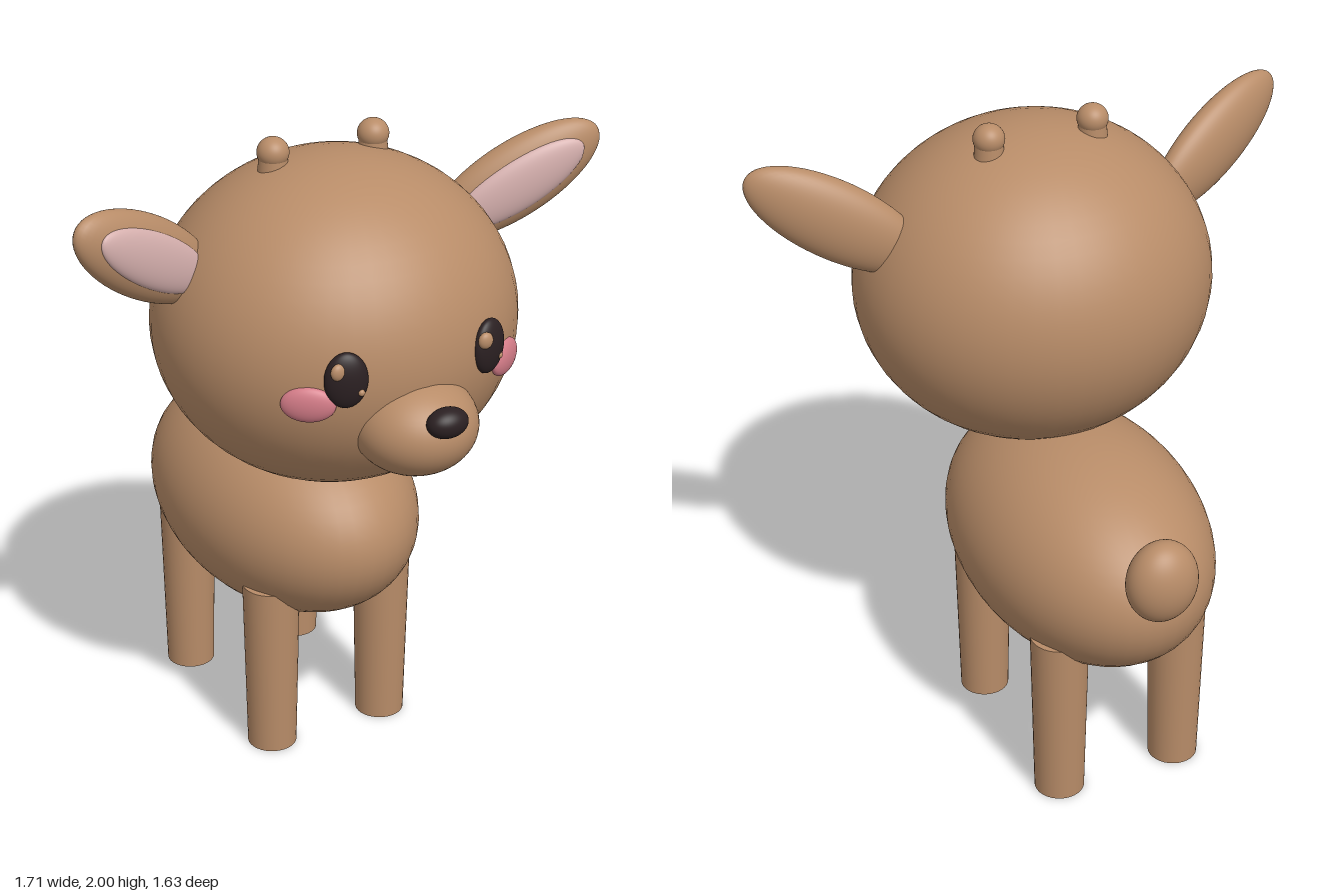
import * as THREE from 'three';

const flat = (name, color) => {
  const m = new THREE.MeshStandardMaterial({ color });
  m.name = name;
  return m;
};

export function createModel() {
  const fur = flat('brown fur', 0xb88c68);
  const innerEarPink = flat('inner ear pink', 0xd6b0ae);
  const blush = flat('blush pink', 0xd47c88);
  const dark = flat('dark brown', 0x2b2022);

  const model = new THREE.Group();
  model.name = 'fawn';
  const ball = new THREE.SphereGeometry(1, 48, 32);

  const add = (name, geometry, material, position, parent = model) => {
    const mesh = new THREE.Mesh(geometry, material);
    mesh.name = name;
    mesh.position.set(...position);
    parent.add(mesh);
    return mesh;
  };
  const ellipsoid = (name, material, position, radii, parent) => {
    const mesh = add(name, ball, material, position, parent);
    mesh.scale.set(...radii);
    return mesh;
  };

  // Body, tail and head
  ellipsoid('body', fur, [0, 0.725, -0.178], [0.37, 0.347, 0.567]);
  ellipsoid('tail', fur, [0, 0.88, -0.73], [0.11, 0.13, 0.086]);
  ellipsoid('head', fur, [0, 1.452, 0.145], [0.548, 0.493, 0.52]);
  ellipsoid('muzzle', fur, [0, 1.288, 0.6], [0.183, 0.144, 0.185]);
  ellipsoid('nose', dark, [0, 1.36, 0.772], [0.063, 0.044, 0.045]);

  // Gently tapered legs
  const leg = new THREE.CylinderGeometry(0.089, 0.077, 0.572, 32);
  const stub = new THREE.CylinderGeometry(0.041, 0.05, 0.12, 32);

  for (const side of [1, -1]) {
    const label = side > 0 ? 'left' : 'right';
    add(label + 'FrontLeg', leg, fur, [side * 0.197, 0.286, 0.107]);
    add(label + 'BackLeg', leg, fur, [side * 0.197, 0.286, -0.463]);

    // Budding antlers
    add(label + 'AntlerStub', stub, fur, [side * 0.165, 1.89, 0.08]);
    ellipsoid(label + 'AntlerTip', fur, [side * 0.165, 1.956, 0.08], [0.047, 0.045, 0.047]);

    // Ears slope up, outward and forward
    const ear = new THREE.Group();
    ear.name = label + 'Ear';
    ear.position.set(side * 0.612, 1.755, 0.16);
    ear.rotation.set(0, -side * 0.31, side * 0.535, 'YXZ');
    model.add(ear);
    ellipsoid(label + 'OuterEar', fur, [0, 0, 0], [0.29, 0.12, 0.065], ear);
    ellipsoid(label + 'InnerEar', innerEarPink, [0, 0, 0.043], [0.225, 0.08, 0.032], ear);

    // Eye and cheek follow the curve of the head
    const eye = ellipsoid(label + 'Eye', dark, [side * 0.232, 1.478, 0.615], [0.062, 0.083, 0.03]);
    eye.rotation.y = side * 0.35;
    const cheek = ellipsoid(label + 'Cheek', blush, [side * 0.322, 1.403, 0.563], [0.078, 0.053, 0.025]);
    cheek.rotation.y = side * 0.6;

    // Eye glints sit at the same offsets on both eyes
    const slope = -side * 0.36;
    ellipsoid(label + 'LargeGlint', fur, [side * 0.232 - 0.03, 1.512, 0.635 - 0.03 * slope], [0.023, 0.025, 0.015]);
    ellipsoid(label + 'SmallGlint', fur, [side * 0.232 + 0.03, 1.447, 0.638 + 0.03 * slope], [0.01, 0.01, 0.009]);
  }
  return model;
}
